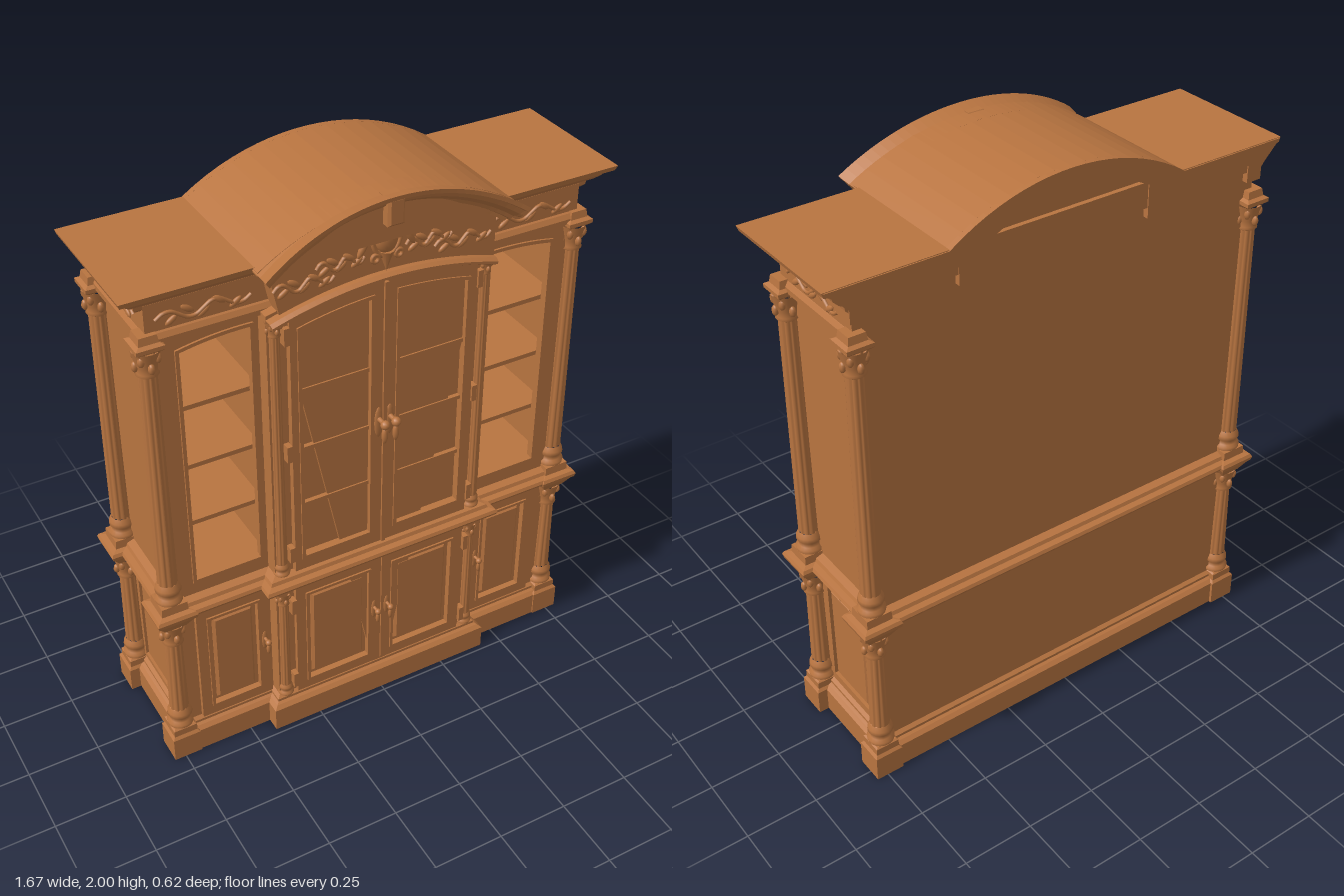
import * as THREE from 'three';

const wood = new THREE.MeshStandardMaterial({ color: 0xb87440 });
wood.name = 'warm wood';
const V = (x, y, z) => new THREE.Vector3(x, y, z);

function add(parent, name, geo, x = 0, y = 0, z = 0) {
  const m = new THREE.Mesh(geo, wood);
  m.name = name;
  m.position.set(x, y, z);
  parent.add(m);
  return m;
}
// box given by its limits
function box(parent, name, x0, x1, y0, y1, z0, z1) {
  return add(parent, name, new THREE.BoxGeometry(Math.abs(x1 - x0), y1 - y0, z1 - z0),
    (x0 + x1) / 2, (y0 + y1) / 2, (z0 + z1) / 2);
}
// flat-faced skin over a stack of matching loops, capped at both ends
function loft(rings, project) {
  const pos = [], n = rings[0].length, last = rings.length - 1;
  const tri = (a, b, c) => pos.push(...a.toArray(), ...b.toArray(), ...c.toArray());
  for (let j = 0; j < last; j++) for (let i = 0; i < n; i++) {
    const a = rings[j][i], b = rings[j][(i + 1) % n], c = rings[j + 1][i], d = rings[j + 1][(i + 1) % n];
    tri(a, b, d); tri(a, d, c);
  }
  for (const [ring, next] of [[rings[0], rings[1]], [rings[last], rings[last - 1]]]) {
    const out = ring[0].clone().sub(next[0]);
    const flat = ring.map(project);
    for (const [a, b, c] of THREE.ShapeUtils.triangulateShape(flat, [])) {
      const nor = ring[b].clone().sub(ring[a]).cross(ring[c].clone().sub(ring[a]));
      if (nor.dot(out) > 0) tri(ring[a], ring[b], ring[c]); else tri(ring[a], ring[c], ring[b]);
    }
  }
  const g = new THREE.BufferGeometry();
  g.setAttribute('position', new THREE.Float32BufferAttribute(pos, 3));
  g.computeVertexNormals();
  return g;
}
const fromAbove = p => new THREE.Vector2(p.x, -p.z);
const fromSide = p => new THREE.Vector2(-p.z, p.y);

// plans grow by o: stepped cabinet outline, and a plain rectangle
const cabinetPlan = o => [[-.72 - o, -.25 - o], [-.72 - o, .145 + o], [-.39 - o, .145 + o], [-.39 - o, .195 + o],
  [.39 + o, .195 + o], [.39 + o, .145 + o], [.72 + o, .145 + o], [.72 + o, -.25 - o]];
const rectPlan = (w, z0, z1, grow = 1) => o =>
  [[-w - o, z0 - o * grow], [-w - o, z1 + o], [w + o, z1 + o], [w + o, z0 - o * grow]];
// profile is a list of [offset, height]
const moulding = (plan, profile) =>
  loft(profile.map(([o, y]) => plan(o).map(([x, z]) => V(x, y, z))), fromAbove);

// moulding swept across the front along an arch; profile is [z, drop along the normal]
function archMoulding(half, yAt, profile, bow = 0) {
  const rings = [];
  for (let i = 0; i <= 32; i++) {
    const x = -half + half * i / 16, e = 1e-3;
    const t = Math.atan((yAt(x + e) - yAt(x - e)) / (2 * e));
    rings.push(profile.map(([z, d]) =>
      V(x + Math.sin(t) * d, yAt(x) - Math.cos(t) * d, z + (z > .2 ? bow * (x / half) ** 2 : 0))));
  }
  return loft(rings, fromSide);
}
// upright outline with a curved top
function outline(x0, x1, y0, top, Kind = THREE.Shape) {
  const s = new Kind();
  s.moveTo(x0, y0); s.lineTo(x1, y0);
  for (let i = 0; i <= 16; i++) { const x = x1 + (x0 - x1) * i / 16; s.lineTo(x, top(x)); }
  s.closePath();
  return s;
}
const extrude = (shape, depth, bevel = 0) => new THREE.ExtrudeGeometry(shape,
  { depth, bevelEnabled: bevel > 0, bevelSize: bevel, bevelThickness: bevel, bevelOffset: -bevel, bevelSegments: 1, curveSegments: 12 });
function frame(parent, name, x0, x1, y0, top, b, z, depth, innerTop) {
  const s = outline(x0, x1, y0, top);
  s.holes.push(outline(x0 + b, x1 - b, y0 + b, innerTop || (x => top(x) - b), THREE.Path));
  add(parent, name, extrude(s, depth), 0, 0, z);
}

const crownY = x => 1.239 + Math.sqrt(.579 - x * x);
const doorTop = x => 1.7 - .4 * x * x;
const level = y => () => y;

function column(parent, x, z, y0, y1, r) {
  const g = new THREE.Group();
  g.name = 'column'; g.position.set(x, 0, z); parent.add(g);
  const b = y0 + r * 2.2, c = y1 - r * 2.7;
  // fluted shaft
  const shaft = new THREE.CylinderGeometry(r * .88, r, c - b, 40, 1, true), p = shaft.attributes.position;
  for (let i = 0; i < p.count; i++) {
    const k = 1 - .13 * Math.max(0, Math.cos(Math.atan2(p.getZ(i), p.getX(i)) * 10));
    p.setXYZ(i, p.getX(i) * k, p.getY(i), p.getZ(i) * k);
  }
  shaft.computeVertexNormals();
  add(g, 'shaft', shaft, 0, (b + c) / 2, 0);
  const lathe = (pts, y) => new THREE.LatheGeometry(pts.map(([a, h]) => new THREE.Vector2(a * r, y + h * r)), 20);
  add(g, 'foot', lathe([[1.35, 0], [1.4, .4], [1.1, .6], [1.05, 1], [1.3, 1.3], [1.25, 1.7], [1, 2.2]], y0));
  add(g, 'capital', lathe([[.9, 0], [1.1, .15], [.95, .35], [1, 1], [1.2, 1.9], [1.4, 2.7]], c));
  // leaves around the capital
  for (let i = 0; i < 8; i++) {
    const a = i * Math.PI / 4, leaf = add(g, 'leaf', new THREE.SphereGeometry(r * .34, 8, 6),
      Math.cos(a) * r * 1.12, c + r * (i % 2 ? 1.9 : 1.1), Math.sin(a) * r * 1.12);
    leaf.scale.y = 1.6;
  }
}

// carved leaf scroll, length along x
function scroll(parent, x, y, z, length, turn = 0) {
  const g = new THREE.Group();
  g.name = 'carvedScroll'; g.position.set(x, y, z); g.rotation.y = turn; parent.add(g);
  const pts = [];
  for (let i = 0; i <= 12; i++) pts.push(V(length * (i / 12 - .5), .018 * Math.sin(i * Math.PI / 3), 0));
  add(g, 'stem', new THREE.TubeGeometry(new THREE.CatmullRomCurve3(pts), 40, .006, 6));
  for (let i = 1; i < 6; i++) {
    const leaf = add(g, 'leaf', new THREE.SphereGeometry(1, 10, 6), length * (i / 6 - .5), i % 2 ? -.012 : .012, 0);
    leaf.scale.set(.024, .01, .007);
    leaf.rotation.z = i % 2 ? .6 : -.6;
  }
}

function handle(parent, x, y, z, s) {
  const g = new THREE.Group();
  g.name = 'handle'; g.position.set(x, y, z); g.scale.setScalar(s); parent.add(g);
  add(g, 'plate', new THREE.SphereGeometry(1, 12, 8)).scale.set(.014, .05, .006);
  const knob = add(g, 'stalk', new THREE.CylinderGeometry(.006, .008, .035, 10), 0, .012, .017);
  knob.rotation.x = Math.PI / 2;
  add(g, 'knob', new THREE.SphereGeometry(.014, 12, 8), 0, .012, .036);
  add(g, 'drop', new THREE.SphereGeometry(.012, 10, 8), 0, -.025, .034).scale.set(.8, 2.2, .7);
}

// framed door with a raised panel
function panelDoor(parent, x0, x1, y0, y1, z) {
  frame(parent, 'doorFrame', x0, x1, y0, level(y1), .042, z, .016);
  frame(parent, 'doorBead', x0 + .036, x1 - .036, y0 + .036, level(y1 - .036), .01, z, .022);
  add(parent, 'doorPanel', extrude(outline(x0 + .06, x1 - .06, y0 + .06, level(y1 - .06)), .002, .009), 0, 0, z);
}

export function createModel() {
  const root = new THREE.Group();
  root.name = 'displayCabinet';

  // base, lower body and waist
  add(root, 'base', moulding(cabinetPlan, [[.035, 0], [.035, .088], [.022, .1], [.012, .105], [.012, .115], [0, .125]]));
  add(root, 'lowerBody', moulding(cabinetPlan, [[0, .1], [0, .64]]));
  add(root, 'waist', moulding(cabinetPlan,
    [[0, .595], [.015, .605], [.022, .622], [.04, .626], [.05, .635], [.055, .645], [.05, .656], [.03, .66], [.025, .672], [0, .68]]));

  // upper carcass: back, closed middle, open side bays with shelves
  box(root, 'backBoard', -.72, .72, .66, 1.7, -.25, -.235);
  add(root, 'middleBody', extrude(outline(-.39, .39, .66, x => 1.72 - .3 * x * x), .43), 0, 0, -.235);
  for (const s of [-1, 1]) {
    box(root, 'sideBoard', s * .7, s * .72, .66, 1.7, -.25, .145);
    const a = Math.min(s * .39, s * .72), b = Math.max(s * .39, s * .72);
    const bay = outline(a, b, .67, level(1.68));
    const inner = [s * .415, s * .65].sort((p, q) => p - q);
    const top = x => 1.63 - .5 * (Math.abs(x) - .45) ** 2;
    bay.holes.push(outline(inner[0], inner[1], .735, top, THREE.Path));
    add(root, 'bayFrame', extrude(bay, .025), 0, 0, .12);
    frame(root, 'bayBead', inner[0] - .008, inner[1] + .008, .727, x => top(x) + .008, .012, .14, .012);
    for (const y of [.725, .945, 1.165, 1.385]) box(root, 'shelf', s * .39, s * .7, y - .008, y + .008, -.235, .118);

    // glazed door leaf
    const d = [s * .004, s * .325].sort((p, q) => p - q), g = [s * .045, s * .295].sort((p, q) => p - q);
    const leaf = outline(d[0], d[1], .685, x => doorTop(x) - .005);
    const glassTop = x => 1.65 - .4 * x * x;
    leaf.holes.push(outline(g[0], g[1], .735, glassTop, THREE.Path));
    add(root, 'glazedDoor', extrude(leaf, .022), 0, 0, .195);
    frame(root, 'glazingBead', g[0] - .006, g[1] + .006, .729, x => glassTop(x) + .006, .012, .195, .027);
    for (const y of [.945, 1.165, 1.385]) box(root, 'glazingBar', g[0], g[1], y - .007, y + .007, .195, .21);
    handle(root, s * .02, 1.18, .217, 1.15);

    // lower doors
    panelDoor(root, Math.min(s * .004, s * .325), Math.max(s * .004, s * .325), .125, .605, .195);
    panelDoor(root, Math.min(s * .4, s * .665), Math.max(s * .4, s * .665), .125, .605, .145);
    handle(root, s * .025, .375, .211, .8);
    handle(root, s * .422, .375, .161, .8);
    for (const y of [.19, .53, .76, 1.17, 1.6]) box(root, 'hinge', s * .327, s * .345, y - .03, y + .03, .195, .222);

    // side panel on the lower body
    const panel = new THREE.Group();
    panel.name = 'sidePanel'; panel.position.set(s * .72, 0, -.055); panel.rotation.y = s * Math.PI / 2;
    root.add(panel);
    frame(panel, 'panelBead', -.125, .125, .165, level(.585), .014, 0, .012);
    add(panel, 'raisedPanel', extrude(outline(-.1, .1, .19, level(.56)), .001, .008));

    // corner columns with stepped blocks
    for (const z of [.135, -.245]) {
      const block = (name, profile) => add(root, name, moulding(rectPlan(0, 0, 0), profile), s * .74, 0, z);
      block('cornerFoot', [[.05, 0], [.05, .09], [.042, .1], [.042, .125], [.036, .13]]);
      block('waistBlock', [[.036, .585], [.045, .6], [.058, .622], [.066, .63], [.07, .645], [.064, .656], [.046, .66], [.044, .69]]);
      block('topBlock', [[.034, 1.645], [.045, 1.655], [.045, 1.668], [.032, 1.675], [.028, 1.7]]);
      column(root, s * .74, z, .13, .59, .033);
      column(root, s * .74, z, .69, 1.648, .033);
    }
    // slim columns beside the middle doors
    column(root, s * .365, .193, .13, .595, .02);
    column(root, s * .365, .193, .68, 1.655, .02);

    scroll(root, s * .56, 1.735, .15, .3);
    scroll(root, s * .27, 1.755, .21, .2);
    scroll(root, s * .15, 1.79, .21, .16);
    scroll(root, s * .748, 1.735, -.05, .28, Math.PI / 2);
  }
  box(root, 'meetingStrip', -.007, .007, .685, 1.69, .195, .224);

  // frieze and straight cornice
  add(root, 'architrave', moulding(rectPlan(.735, -.25, .145, 0), [[0, 1.655], [.018, 1.662], [.018, 1.68], [.008, 1.695], [0, 1.7]]));
  box(root, 'frieze', -.742, .742, 1.68, 1.79, -.25, .147);
  add(root, 'cornice', moulding(rectPlan(.757, -.266, .135, 0),
    [[0, 1.77], [.01, 1.78], [.012, 1.795], [.028, 1.803], [.045, 1.82], [.05, 1.835], [.072, 1.84], [.078, 1.857]]));

  // arched crown: pediment, roof, mouldings
  const pediment = new THREE.Shape();
  for (let i = 0; i <= 20; i++) { const x = -.39 + .039 * i; pediment.lineTo(x, doorTop(x) - .005); }
  for (let i = 0; i <= 20; i++) { const x = .39 - .039 * i; pediment.lineTo(x, crownY(x) - .03); }
  add(root, 'pediment', extrude(pediment, .41), 0, 0, -.205);
  add(root, 'roof', extrude(outline(-.43, .43, 1.84, x => crownY(x) - .012), .49), 0, 0, -.25);
  add(root, 'crownMoulding', archMoulding(.44, crownY, [[.28, 0], [.278, .014], [.262, .018], [.255, .034],
    [.235, .05], [.23, .062], [.215, .066], [.212, .078], [.16, .078], [.16, .012], [.23, .012]], .03));
  add(root, 'doorArch', archMoulding(.39, x => doorTop(x) + .022,
    [[.222, 0], [.236, .008], [.236, .016], [.222, .024], [.18, .024], [.18, 0]]));

  // back rail with shallow recesses
  const rail = new THREE.Shape();
  rail.moveTo(-.757, 1.735); rail.lineTo(-.7, 1.735); rail.lineTo(-.7, 1.795); rail.lineTo(-.4, 1.795);
  rail.lineTo(-.4, 1.735); rail.lineTo(-.29, 1.735);
  for (let i = 0; i <= 16; i++) { const x = -.29 + .58 * i / 16; rail.lineTo(x, 1.925 - .9 * x * x); }
  rail.lineTo(.29, 1.735); rail.lineTo(.4, 1.735); rail.lineTo(.4, 1.795); rail.lineTo(.7, 1.795);
  rail.lineTo(.7, 1.735); rail.lineTo(.757, 1.735); rail.lineTo(.757, 1.78); rail.lineTo(.83, 1.855);
  for (let i = 0; i <= 20; i++) { const x = .43 - .043 * i; rail.lineTo(x, crownY(x) - .012); }
  rail.lineTo(-.83, 1.855); rail.lineTo(-.757, 1.78);
  rail.closePath();
  add(root, 'backRail', extrude(rail, .02), 0, 0, -.27);

  // carved centre ornament
  const crest = new THREE.Group();
  crest.name = 'centreOrnament'; crest.position.set(0, 1.84, .215); root.add(crest);
  add(crest, 'shield', new THREE.SphereGeometry(1, 20, 12)).scale.set(.038, .055, .024);
  add(crest, 'shieldRim', new THREE.TorusGeometry(.048, .007, 8, 24)).scale.y = 1.3;
  add(crest, 'drop', new THREE.ConeGeometry(.024, .07, 10), 0, -.08, 0).rotation.x = Math.PI;
  add(crest, 'keystone', extrude(outline(-.028, .028, .06, level(.15)), .05, .008), 0, 0, 0);
  for (const s of [-1, 1]) {
    add(crest, 'volute', new THREE.TorusGeometry(.016, .007, 8, 16), s * .046, .062, .008);
    add(crest, 'volute', new THREE.TorusGeometry(.012, .006, 8, 16), s * .04, -.062, .004);
    const leaf = add(crest, 'leaf', new THREE.SphereGeometry(1, 10, 8), s * .075, -.01, 0);
    leaf.scale.set(.012, .045, .01);
    leaf.rotation.z = s * .5;
  }
  return root;
}
